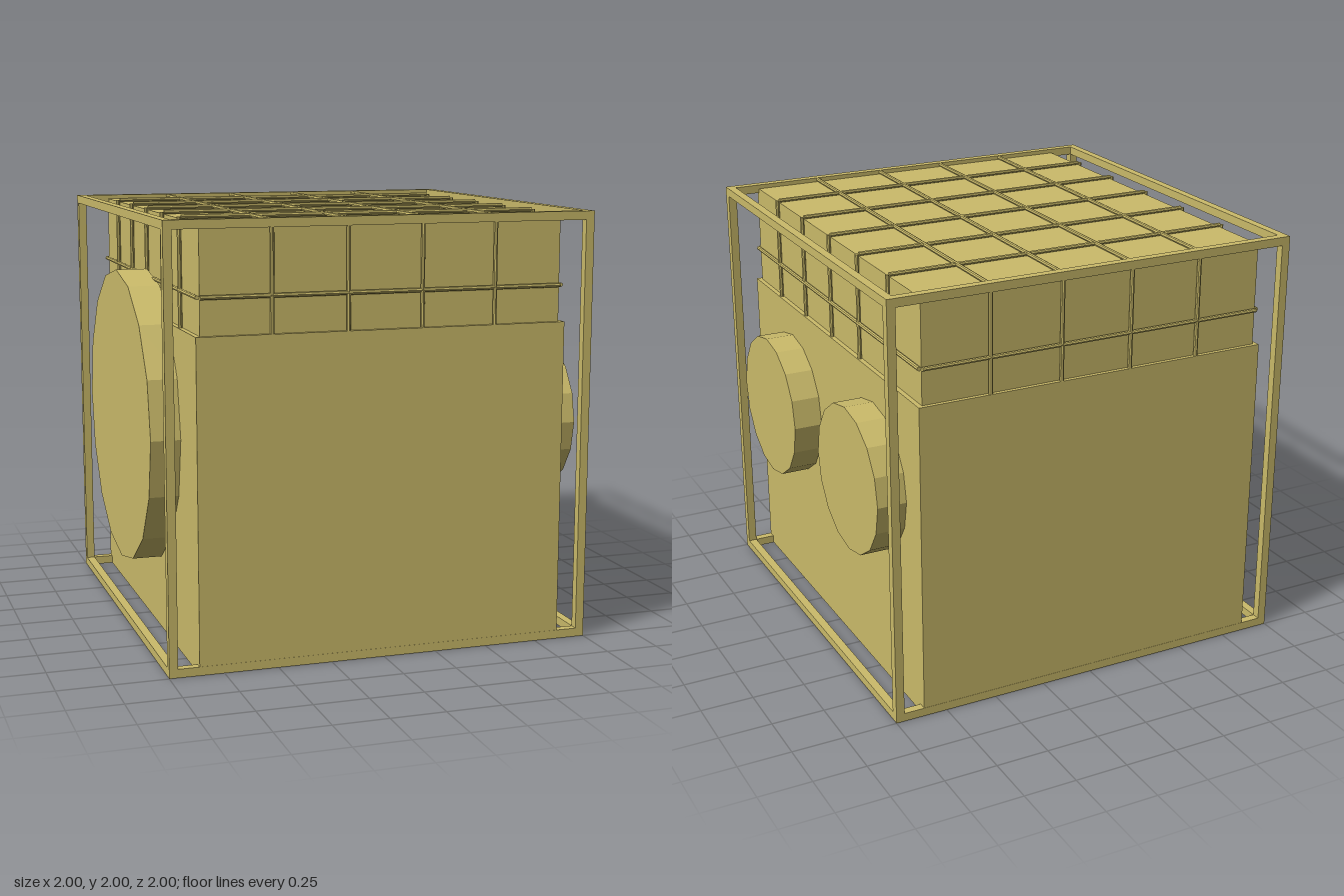
import * as THREE from 'three';

export function createModel() {
  const model = new THREE.Group();
  const tan = new THREE.MeshStandardMaterial({ color: 0xcbbb6a, flatShading: true });
  tan.name = 'tan';

  const group = (name) => {
    const g = new THREE.Group();
    g.name = name;
    model.add(g);
    return g;
  };
  const add = (parent, name, geometry, x, y, z) => {
    const mesh = new THREE.Mesh(geometry, tan);
    mesh.name = name;
    mesh.position.set(x, y, z);
    parent.add(mesh);
    return mesh;
  };
  // cylinder lying along the given axis
  const rod = (parent, name, axis, radius, length, sides, x, y, z) => {
    const geometry = new THREE.CylinderGeometry(radius, radius, length, sides);
    if (axis === 'x') geometry.rotateZ(Math.PI / 2);
    if (axis === 'z') geometry.rotateX(Math.PI / 2);
    return add(parent, name, geometry, x, y, z);
  };

  // body: wide lower block and a slightly inset upper block
  add(model, 'lowerBody', new THREE.BoxGeometry(1.725, 1.499, 1.998), 0, 0.7505, 0);
  add(model, 'upperBody', new THREE.BoxGeometry(1.68, 0.48, 1.96), 0, 1.74, 0);

  // open frame along the twelve cube edges
  const frame = group('frame');
  const t = 0.04, e = 1 - t / 2;
  for (const a of [-e, e]) {
    for (const b of [-e, e]) {
      add(frame, 'post', new THREE.BoxGeometry(t, 2, t), a, 1, b);
      add(frame, 'crossBar', new THREE.BoxGeometry(2 - 2 * t, t, t), 0, 1 + a, b);
      add(frame, 'sideBar', new THREE.BoxGeometry(t, t, 2 - 2 * t), a, 1 + b, 0);
    }
  }

  // thin rods forming a grid over the upper block
  const grid = group('rodGrid');
  const r = 0.01, sides = 8, rowY = 1.667;
  const columns = [-0.52, -0.173, 0.173, 0.52];
  const rows = [-0.667, -0.333, 0, 0.333, 0.667];
  for (const x of columns) {
    rod(grid, 'topRod', 'z', r, 1.96, sides, x, 1.99, 0);
    for (const z of [-0.99, 0.99]) rod(grid, 'uprightRod', 'y', r, 0.49, sides, x, 1.745, z);
  }
  for (const z of rows) {
    rod(grid, 'topRod', 'x', r, 1.68, sides, 0, 1.99, z);
    for (const x of [-0.85, 0.85]) rod(grid, 'uprightRod', 'y', r, 0.49, sides, x, 1.745, z);
  }
  for (const s of [-1, 1]) {
    rod(grid, 'levelRod', 'x', r, 1.68, sides, 0, rowY, s * 0.99);
    rod(grid, 'levelRod', 'z', r, 1.96, sides, s * 0.85, rowY, 0);
  }

  // round ports: two small on the left, one large on the right
  for (const z of [-0.5, 0.5]) rod(model, 'smallPort', 'x', 0.35, 0.15, 16, 0.925, 1, z);
  rod(model, 'largePort', 'x', 0.7, 0.15, 16, -0.925, 1, 0);

  return model;
}
